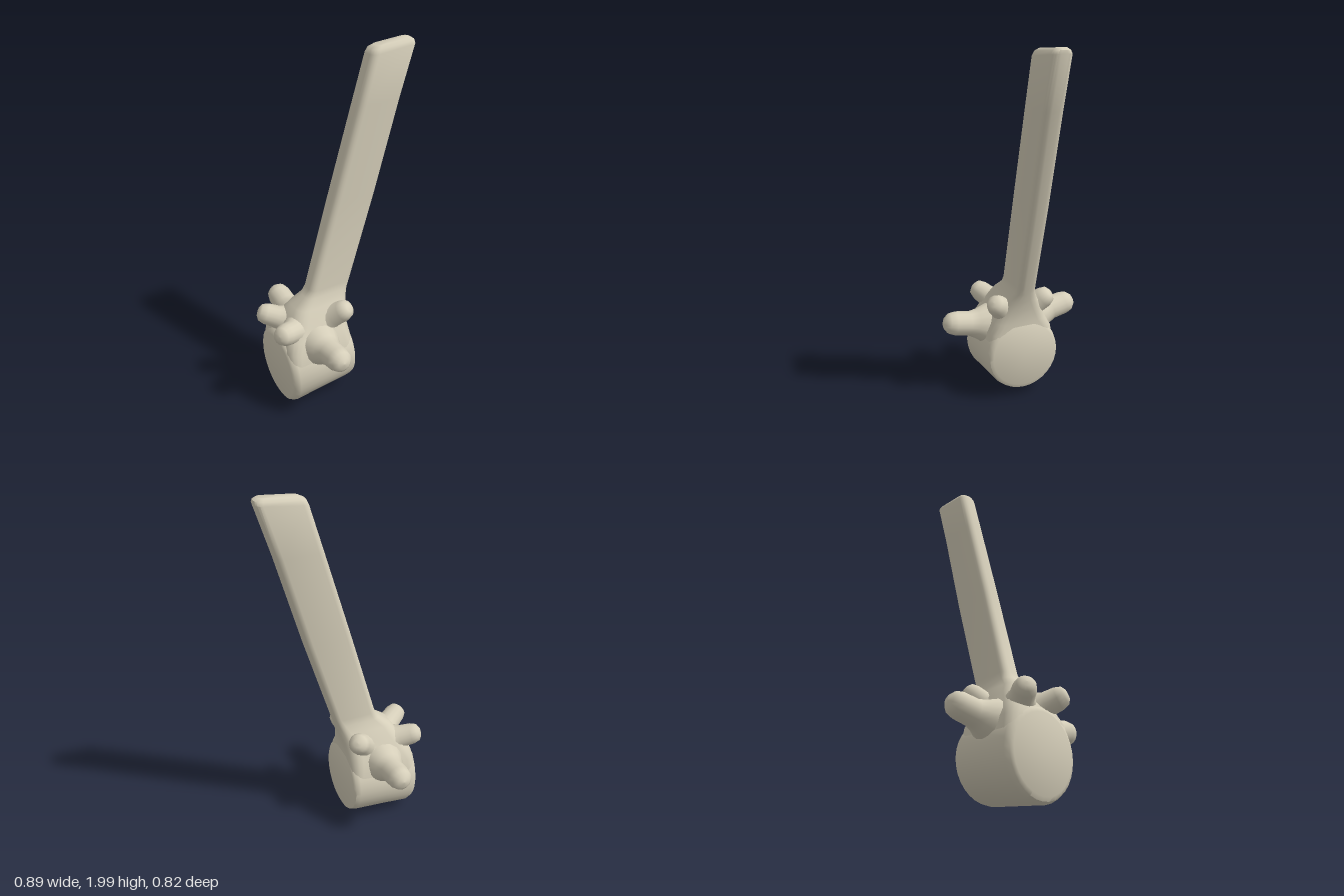
import * as THREE from 'three';
import { toCreasedNormals } from 'three/addons/utils/BufferGeometryUtils.js';

// Skin a list of closed rings (equal point counts) and cap both ends.
function loft(rings) {
  const n = rings[0].length, pos = [], idx = [];
  const add = (p) => pos.push(p.x, p.y, p.z);
  rings.forEach((ring) => ring.forEach(add));
  for (let i = 0; i < rings.length - 1; i++) {
    for (let j = 0; j < n; j++) {
      const k = (j + 1) % n;
      const a = i * n + j, b = i * n + k, c = a + n, d = b + n;
      idx.push(a, c, b, b, c, d);
    }
  }
  const centre = (ring) => ring.reduce((s, p) => s.add(p), new THREE.Vector3()).divideScalar(n);
  const first = rings.length * n, last = (rings.length - 1) * n;
  add(centre(rings[0]));
  add(centre(rings[rings.length - 1]));
  for (let j = 0; j < n; j++) {
    const k = (j + 1) % n;
    idx.push(first, j, k, first + 1, last + k, last + j);
  }
  const geo = new THREE.BufferGeometry();
  geo.setAttribute('position', new THREE.Float32BufferAttribute(pos, 3));
  geo.setIndex(idx);
  return toCreasedNormals(geo, 0.75);
}

// Horizontal rounded rectangle from x0 to x1, half depth hz, corner radius r.
function slab([y, x0, x1, hz, r, slope = 0]) {
  const pts = [], steps = 4, xc = (x0 + x1) / 2, hw = (x1 - x0) / 2;
  [[1, 1], [-1, 1], [-1, -1], [1, -1]].forEach(([sx, sz], q) => {
    for (let s = 0; s <= steps; s++) {
      const a = (q + s / steps) * Math.PI / 2;
      const x = sx * (hw - r) + r * Math.cos(a);
      pts.push(new THREE.Vector3(xc + x, y + x * slope, sz * (hz - r) + r * Math.sin(a)));
    }
  });
  return pts;
}

// Upright oval at x, between heights y0 and y1, half depth rz.
function oval([x, y0, y1, rz]) {
  const pts = [];
  for (let j = 0; j < 32; j++) {
    const a = j / 32 * Math.PI * 2;
    const y = (y0 + y1) / 2 + (y1 - y0) / 2 * Math.sin(a);
    pts.push(new THREE.Vector3(x - (y - 0.24) * 0.03, y, rz * Math.cos(a)));
  }
  return pts;
}

export function createModel() {
  const group = new THREE.Group();
  const bone = new THREE.MeshStandardMaterial({ color: 0xd6cfba });
  bone.name = 'bone';
  const addMesh = (name, geo) => {
    const mesh = new THREE.Mesh(geo, bone);
    mesh.name = name;
    group.add(mesh);
    return mesh;
  };

  // Drum-shaped body lying along x
  addMesh('body', loft([
    [-0.397, 0.035, 0.43, 0.185],
    [-0.388, 0.015, 0.45, 0.203],
    [-0.36, 0.004, 0.465, 0.215],
    [-0.2, 0.024, 0.47, 0.213],
    [-0.03, 0.045, 0.475, 0.215],
    [-0.004, 0.053, 0.465, 0.207],
    [0.006, 0.075, 0.45, 0.19],
  ].map(oval)));

  // Arch narrowing upward into the long leaning blade
  addMesh('archAndSpine', loft([
    [0.3, -0.395, 0.0, 0.2, 0.05],
    [0.4, -0.395, 0.0, 0.185, 0.06],
    [0.46, -0.375, 0.0, 0.155, 0.07],
    [0.54, -0.325, 0.012, 0.12, 0.07],
    [0.6, -0.285, 0.03, 0.085, 0.06],
    [0.65, -0.22, 0.045, 0.06, 0.045],
    [0.69, -0.193, 0.058, 0.054, 0.035],
    [1.2, -0.047, 0.212, 0.054, 0.035],
    [1.7, 0.1, 0.352, 0.054, 0.035],
    [1.957, 0.172, 0.435, 0.053, 0.035, 0.1],
    [1.977, 0.182, 0.433, 0.045, 0.035, 0.08],
    [1.99, 0.21, 0.415, 0.03, 0.025, 0.08],
  ].map(slab)));

  // Blunt knob turned around the line from root to tip; profile is [radius, fraction]
  const knob = (name, root, tip, profile) => {
    const from = new THREE.Vector3(...root), dir = new THREE.Vector3(...tip).sub(from);
    const length = dir.length();
    const pts = profile.map(([r, t]) => new THREE.Vector2(r, t * length));
    const mesh = addMesh(name, new THREE.LatheGeometry(pts, 16));
    mesh.position.copy(from);
    mesh.quaternion.setFromUnitVectors(new THREE.Vector3(0, 1, 0), dir.normalize());
  };
  const wing = [[0.14, 0], [0.115, 0.25], [0.085, 0.42], [0.07, 0.55], [0.068, 0.8],
    [0.058, 0.91], [0.034, 0.98], [0, 1]];
  const stub = [[0.11, 0], [0.085, 0.3], [0.064, 0.5], [0.06, 0.78], [0.048, 0.93], [0.025, 0.99], [0, 1]];

  // Side wings and the four joint knobs, mirrored in z
  for (const s of [1, -1]) {
    const side = s > 0 ? 'front' : 'back';
    knob(side + 'Wing', [-0.2, 0.385, s * 0.08], [-0.2, 0.45, s * 0.41], wing);
    knob(side + 'RightKnob', [-0.25, 0.46, s * 0.03], [-0.44, 0.54, s * 0.135], stub);
    knob(side + 'LeftKnob', [-0.13, 0.46, s * 0.03], [-0.025, 0.605, s * 0.175], stub);
  }
  return group;
}
